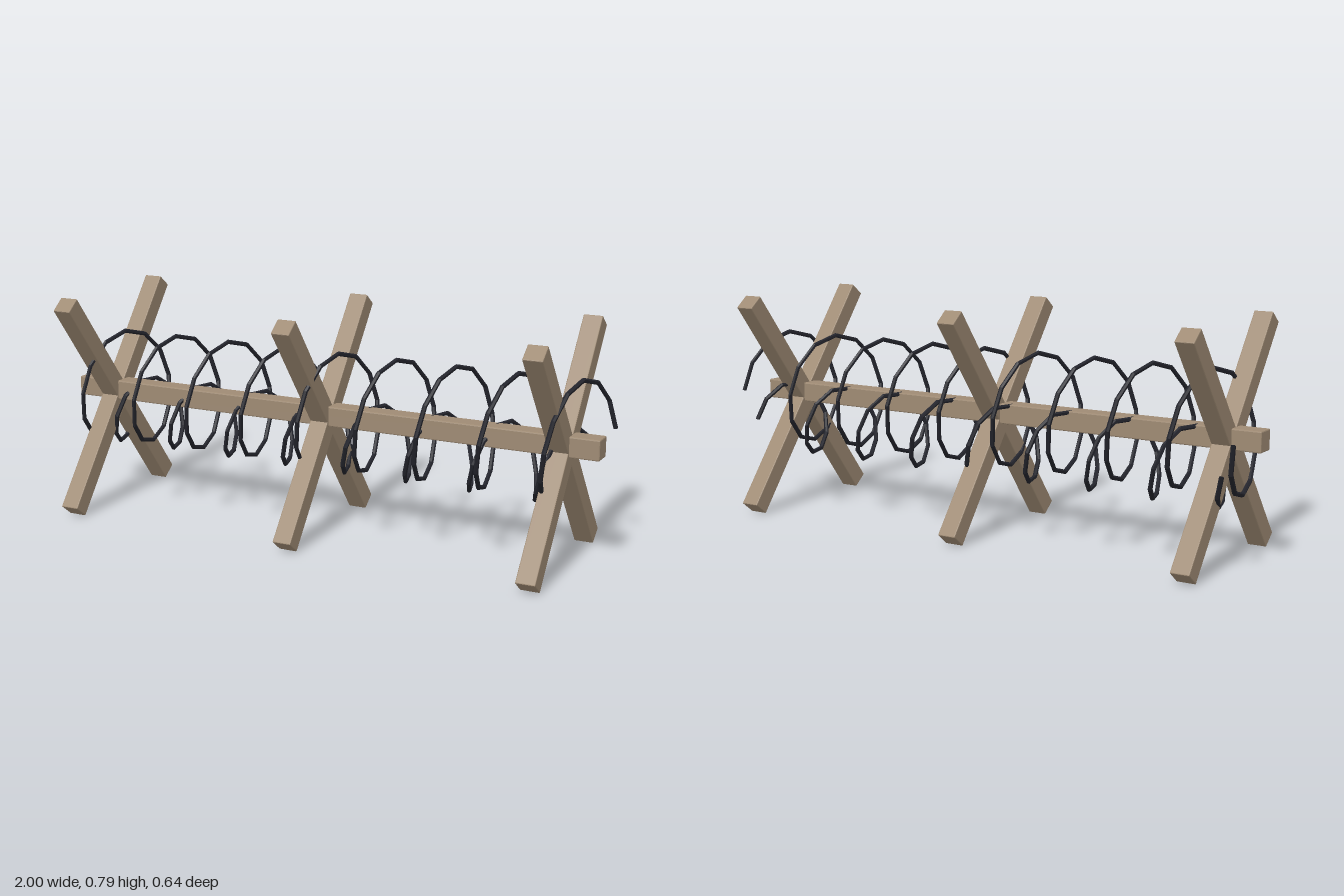
import * as THREE from 'three';
import { RoundedBoxGeometry } from 'three/addons/geometries/RoundedBoxGeometry.js';

// Helix along x that starts at the back and winds down, forward and up
class Helix extends THREE.Curve {
  constructor(length, radius, turns, y, z) {
    super();
    Object.assign(this, { length, radius, turns, y, z });
  }
  getPoint(t, target = new THREE.Vector3()) {
    const a = t * this.turns * Math.PI * 2;
    return target.set(
      (t - 0.5) * this.length,
      this.y - this.radius * Math.sin(a),
      this.z - this.radius * Math.cos(a)
    );
  }
}

export function createModel() {
  const model = new THREE.Group();
  model.name = 'wireBarricade';

  const wood = new THREE.MeshStandardMaterial({ color: 0x9f8b74, flatShading: true });
  wood.name = 'weatheredWood';
  const iron = new THREE.MeshStandardMaterial({ color: 0x24252d, flatShading: true, side: THREE.DoubleSide });
  iron.name = 'darkWire';

  const add = (name, geometry, material, parent = model) => {
    const mesh = new THREE.Mesh(geometry, material);
    mesh.name = name;
    parent.add(mesh);
    return mesh;
  };

  // Long horizontal beam
  add('beam', new RoundedBoxGeometry(2, 0.07, 0.07, 1, 0.004), wood).position.y = 0.42;

  // Three crossed pairs of stakes
  const stake = new RoundedBoxGeometry(0.067, 0.958, 0.064, 1, 0.003);
  for (const x of [-0.865, 0, 0.865]) {
    const frame = new THREE.Group();
    frame.name = 'crossFrame';
    frame.position.set(x, 0.4, 0);
    for (const side of [-1, 1]) {
      add('stake', stake, wood, frame).rotation.x = side * THREE.MathUtils.degToRad(38);
    }
    model.add(frame);
  }

  // Large and small wire coils with coarse bends
  const coil = (name, helix, bends) =>
    add(name, new THREE.TubeGeometry(helix, helix.turns * bends, 0.008, 6), iron);
  coil('largeWireCoil', new Helix(1.96, 0.2, 9, 0.437, 0), 12);
  coil('smallWireCoil', new Helix(1.87, 0.125, 8, 0.33, -0.057), 10);

  return model;
}
